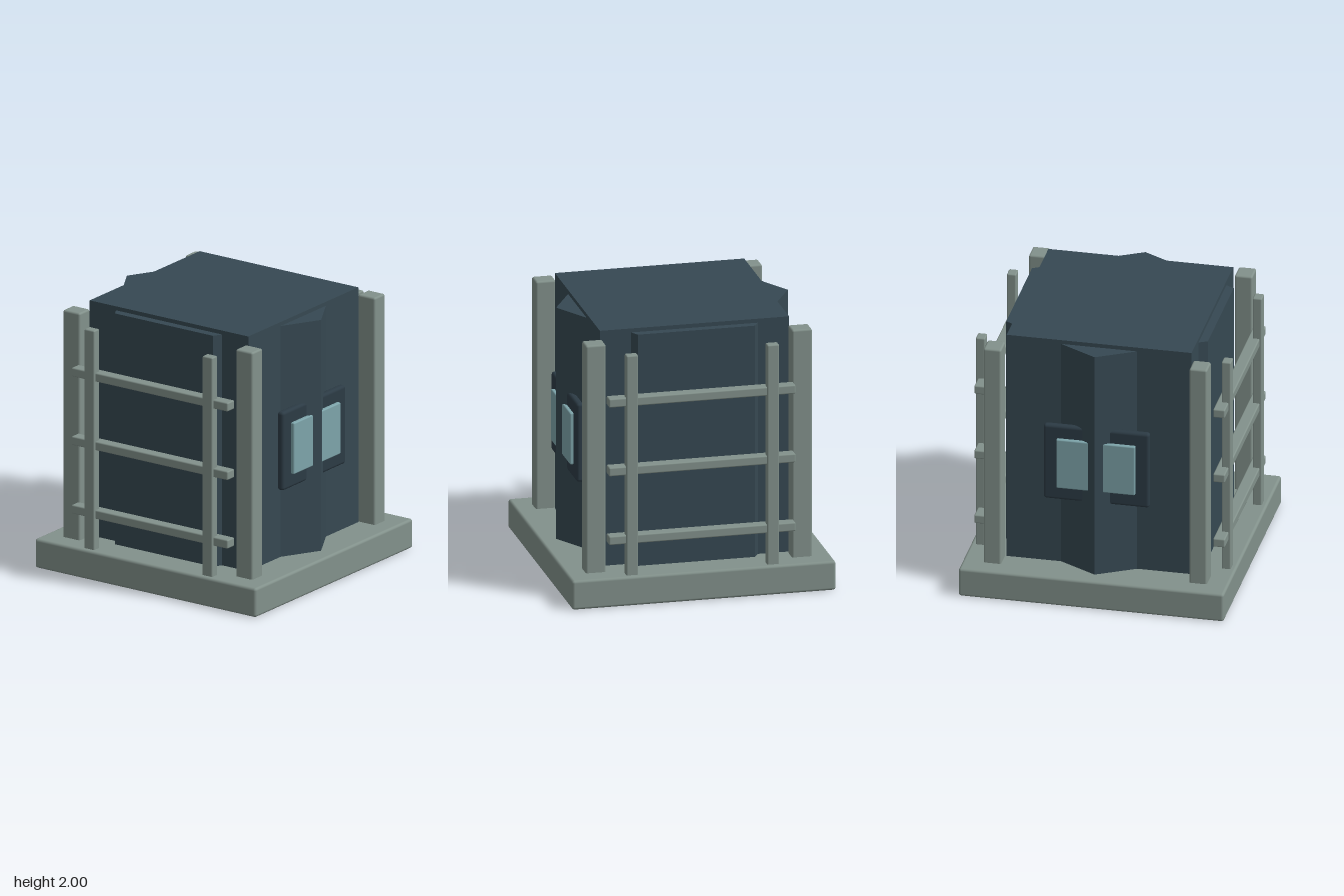
import * as THREE from 'three';
import { RoundedBoxGeometry } from 'three/addons/geometries/RoundedBoxGeometry.js';

const mat = (name, color) => {
  const m = new THREE.MeshStandardMaterial({ color });
  m.name = name;
  return m;
};

export function createModel() {
  const group = new THREE.Group();
  const slate = mat('slate', 0x364852);
  const darkSlate = mat('dark slate', 0x2c3b45);
  const stone = mat('grey green', 0x82918b);
  const glass = mat('pale glass', 0x7da4aa);

  const add = (name, geometry, material) => {
    const mesh = new THREE.Mesh(geometry, material);
    mesh.name = name;
    group.add(mesh);
    return mesh;
  };

  // Softly rounded box given by its minimum and maximum corners
  const block = (name, material, a, b, radius) => {
    const size = a.map((v, i) => Math.abs(b[i] - v));
    const mesh = add(name, new RoundedBoxGeometry(...size, 2, radius), material);
    mesh.position.set(...a.map((v, i) => (v + b[i]) / 2));
  };

  // Upright prism from a plan outline of [x, z] points
  const prism = (name, outline, y0, y1) => {
    const shape = new THREE.Shape(outline.map(([x, z]) => new THREE.Vector2(x, -z)));
    const geometry = new THREE.ExtrudeGeometry(shape, { depth: y1 - y0, bevelEnabled: false });
    geometry.rotateX(-Math.PI / 2);
    geometry.translate(0, y0, 0);
    add(name, geometry, slate);
  };

  // Base slab and main body
  block('base', stone, [-0.975, 0, -0.975], [0.975, 0.22, 0.975], 0.02);
  const body = add('body', new THREE.BoxGeometry(1.36, 1.99, 1.4), slate);
  body.position.y = 1.005;

  // Pointed ridges and windows on front and back
  for (const s of [1, -1]) {
    prism('ridge', [[-0.28, 0.69 * s], [-0.28, 0.7 * s], [0, 0.857 * s], [0.28, 0.7 * s], [0.28, 0.69 * s]], 0.1, 1.97);
    block('windowFrame', darkSlate, [-0.39, 0.765, 0.745 * s], [0.39, 1.36, 0.8 * s], 0.022);
    block('windowPane', glass, [-0.29, 0.87, 0.765 * s], [0.29, 1.26, 0.826 * s], 0.01);
  }

  // Bevelled panels, ladder posts and rails on both sides
  for (const s of [1, -1]) {
    prism('sidePanel', [[0.67 * s, -0.468], [0.68 * s, -0.468], [0.742 * s, -0.433],
      [0.742 * s, 0.433], [0.68 * s, 0.468], [0.67 * s, 0.468]], 0.1, 1.97);
    for (const y of [0.485, 1.005, 1.525]) {
      block('rail', stone, [0.835 * s, y - 0.033, -0.69], [0.922 * s, y + 0.033, 0.69], 0.01);
    }
    for (const t of [1, -1]) {
      block('railPost', stone, [0.87 * s, 0.1, 0.477 * t], [0.938 * s, 1.88, 0.565 * t], 0.01);
      block('cornerPost', stone, [0.692 * s, 0.1, 0.688 * t], [0.822 * s, 1.94, 0.837 * t], 0.015);
    }
  }

  return group;
}
